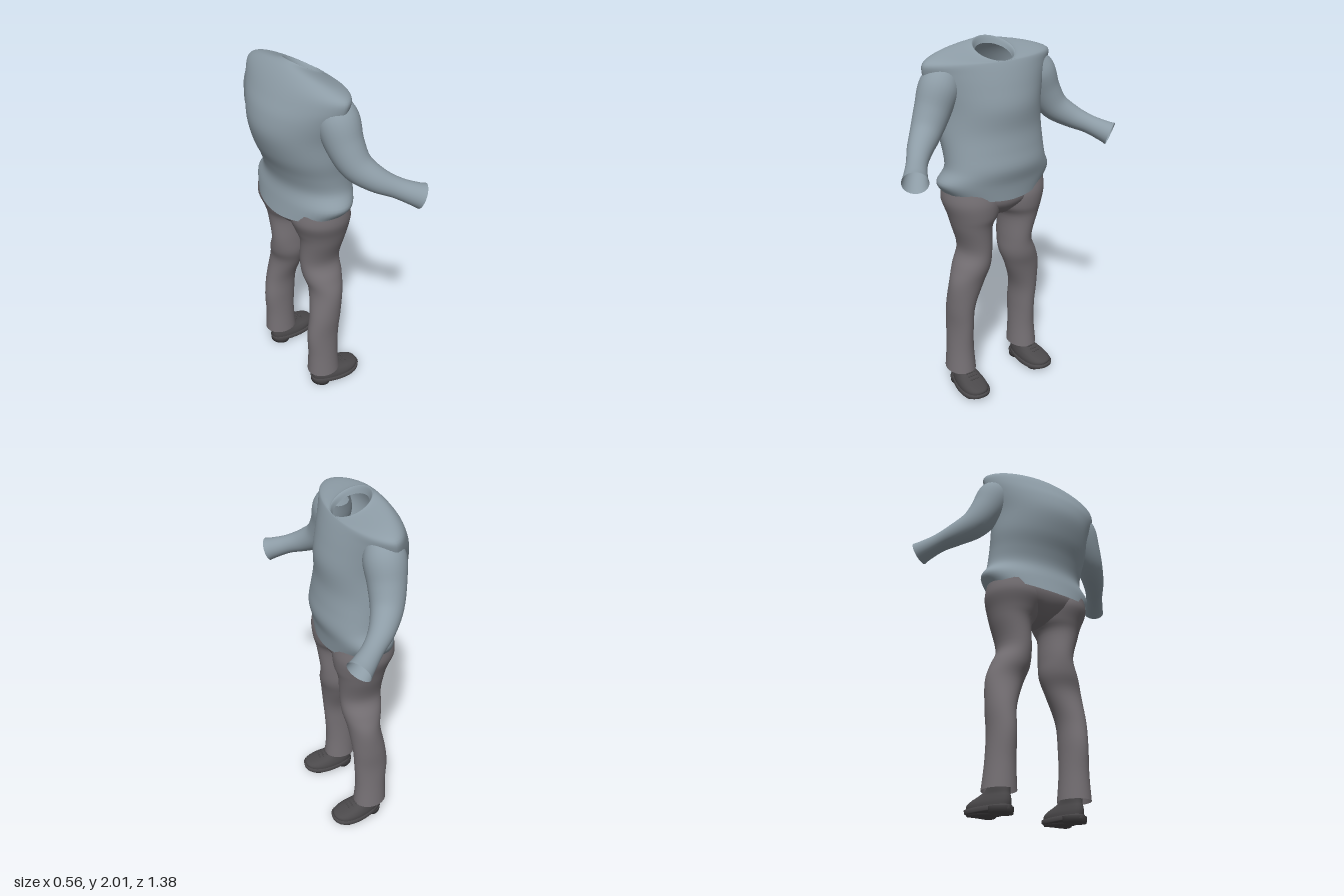
import * as THREE from 'three';

const mat = (name, color) => {
  const m = new THREE.MeshStandardMaterial({ color, side: THREE.DoubleSide });
  m.name = name;
  return m;
};

// Catmull-Rom resampling of a table of section rows
function smooth(rows, steps = 5) {
  const out = [];
  for (let i = 0; i < rows.length - 1; i++) {
    const p0 = rows[Math.max(i - 1, 0)], p1 = rows[i], p2 = rows[i + 1];
    const p3 = rows[Math.min(i + 2, rows.length - 1)];
    for (let k = 0; k < steps; k++) {
      const t = k / steps;
      out.push(p1.map((b, j) => {
        const a = p0[j], c = p2[j], d = p3[j];
        return b + 0.5 * t * (c - a + t * (2 * a - 5 * b + 4 * c - d + t * (3 * (b - c) + d - a)));
      }));
    }
  }
  out.push(rows[rows.length - 1]);
  return out;
}

// Skin a list of closed rings; pointAt(row, angle, index) gives [x, y, z]
function loft(rows, pointAt, sides = 40) {
  const pos = [], idx = [];
  rows.forEach((row, i) => {
    for (let j = 0; j < sides; j++) {
      pos.push(...pointAt(row, (j / sides) * Math.PI * 2, i));
      if (i === 0) continue;
      const k = (j + 1) % sides, a = (i - 1) * sides, b = i * sides;
      idx.push(a + j, b + j, a + k, a + k, b + j, b + k);
    }
  });
  const g = new THREE.BufferGeometry();
  g.setAttribute('position', new THREE.Float32BufferAttribute(pos, 3));
  g.setIndex(idx);
  g.computeVertexNormals();
  return g;
}

// Body ring: [y, back x, front x, half width, tilt, hem wave, pointedness]
function bodyPoint([y, xb, xf, w, tilt, wave, power], t) {
  const c = Math.cos(t);
  const dx = ((xf - xb) / 2) * Math.sign(c) * Math.abs(c) ** power;
  return [(xb + xf) / 2 + dx, y + tilt * dx - wave * Math.cos(2 * t), -w * Math.sin(t)];
}

// Leg ring: [y, back x, front x, inner z, outer z]
const legPoint = (s) => ([y, xb, xf, zi, zo], t) => [
  (xb + xf) / 2 + ((xf - xb) / 2) * Math.cos(t), y,
  s * ((zi + zo) / 2 + ((zo - zi) / 2) * Math.sin(t)),
];

// Shoe ring: [y, heel x, toe x, half width, toe lift]
function shoePoint([y, xb, xf, w, lift], t) {
  const c = Math.cos(t);
  return [(xb + xf) / 2 + ((xf - xb) / 2) * c,
    y + lift * Math.max(0, c) ** 3,
    -w * Math.sign(Math.sin(t)) * Math.abs(Math.sin(t)) ** 0.85 * (0.9 + 0.2 * c)];
}

// Sleeve: centre line with a radius at each point
function sleeve(rows, s) {
  const list = smooth(rows, 5);
  const centre = list.map(([x, y, z]) => new THREE.Vector3(x, y, z));
  return loft(list, (row, t, i) => {
    const dir = centre[Math.min(i + 1, list.length - 1)].clone()
      .sub(centre[Math.max(i - 1, 0)]).normalize();
    const u = new THREE.Vector3().crossVectors(dir, new THREE.Vector3(-0.7, 0, 0.7)).normalize();
    const v = new THREE.Vector3().crossVectors(dir, u);
    const p = centre[i].clone().addScaledVector(u, row[3] * Math.cos(t))
      .addScaledVector(v, row[3] * Math.sin(t));
    return [p.x, p.y, s * p.z];
  }, 28);
}

export function createModel() {
  const model = new THREE.Group();
  model.name = 'clothedBody';
  const shirt = mat('shirtBlueGrey', 0x8d9ca6);
  const cloth = mat('trouserGrey', 0x757074);
  const leather = mat('shoeDarkGrey', 0x4b494b);
  const add = (name, geo, material, parent = model) => {
    const m = new THREE.Mesh(geo, material);
    m.name = name;
    parent.add(m);
    return m;
  };

  // Sweater from hem to open collar, with a turned-in neck edge
  add('sweaterBody', loft(smooth([
    [1.218, -0.207, 0.175, 0.315, 0, 0.026, 1],
    [1.29, -0.19, 0.182, 0.35, 0, 0.01, 1],
    [1.37, -0.175, 0.202, 0.307, 0, 0, 1],
    [1.46, -0.20, 0.187, 0.302, 0, 0, 1],
    [1.56, -0.245, 0.172, 0.313, 0, 0, 1.1],
    [1.68, -0.278, 0.174, 0.325, 0, 0, 1.25],
    [1.78, -0.265, 0.148, 0.36, 0, 0, 1.3],
    [1.86, -0.228, 0.118, 0.39, 0, 0, 1.25],
    [1.915, -0.187, 0.098, 0.386, -0.1, 0, 1.1],
    [1.943, -0.145, 0.092, 0.30, -0.3, 0, 1],
    [1.953, -0.112, 0.094, 0.14, -0.46, 0, 1],
    [1.955, -0.102, 0.092, 0.112, -0.5, 0, 1],
    [1.925, -0.09, 0.08, 0.10, -0.5, 0, 1],
  ]), bodyPoint, 56), shirt);

  // Hips and crotch
  add('trouserHips', loft(smooth([
    [1.29, -0.16, 0.15, 0.285, 0, 0, 1],
    [1.22, -0.182, 0.155, 0.305, 0, 0, 1],
    [1.16, -0.168, 0.153, 0.25, 0, 0, 1],
    [1.11, -0.13, 0.12, 0.11, 0, 0, 1],
    [1.078, -0.075, 0.075, 0.05, 0, 0, 1],
    [1.065, -0.001, 0.001, 0.001, 0, 0, 1],
  ]), bodyPoint), cloth);

  for (const s of [1, -1]) {
    const side = s > 0 ? 'left' : 'right';

    // Sleeve bent forward, open at the cuff
    add(side + 'Sleeve', sleeve([
      [-0.035, 1.885, 0.25, 0.07],
      [-0.035, 1.80, 0.308, 0.104],
      [-0.027, 1.69, 0.36, 0.094],
      [0.0, 1.595, 0.42, 0.08],
      [0.06, 1.535, 0.495, 0.064],
      [0.135, 1.495, 0.56, 0.052],
      [0.205, 1.462, 0.612, 0.058],
      [0.238, 1.448, 0.634, 0.065],
    ], s), shirt);

    // Trouser leg, open at the bottom
    add(side + 'TrouserLeg', loft(smooth([
      [1.25, -0.165, 0.14, 0.02, 0.308],
      [1.18, -0.174, 0.158, -0.005, 0.312],
      [1.10, -0.145, 0.153, 0.012, 0.288],
      [1.03, -0.124, 0.135, 0.05, 0.268],
      [0.89, -0.118, 0.122, 0.052, 0.228],
      [0.79, -0.11, 0.118, 0.056, 0.268],
      [0.69, -0.088, 0.098, 0.092, 0.30],
      [0.54, -0.112, 0.08, 0.148, 0.304],
      [0.40, -0.13, 0.07, 0.157, 0.297],
      [0.25, -0.122, 0.064, 0.155, 0.304],
      [0.11, -0.125, 0.075, 0.146, 0.317],
    ]), legPoint(s), 36), cloth);

    // Shoe: upper, sole, heel and laces, toe turned slightly out
    const shoe = new THREE.Group();
    shoe.name = side + 'Shoe';
    shoe.position.z = s * 0.226;
    shoe.rotation.y = -s * 0.08;
    model.add(shoe);
    add('shoeUpper', loft(smooth([
      [0.03, -0.092, 0.21, 0.082, 0.01],
      [0.055, -0.096, 0.212, 0.082, 0.008],
      [0.078, -0.094, 0.18, 0.073, 0],
      [0.095, -0.09, 0.12, 0.062, 0],
      [0.115, -0.088, 0.065, 0.055, 0],
      [0.15, -0.085, 0.03, 0.05, 0],
    ], 4), shoePoint, 36), leather, shoe);
    add('shoeSole', loft([
      [0.012, 0.05, 0.05, 0, 0],
      [0.012, -0.092, 0.212, 0.085, 0.012],
      [0.016, -0.098, 0.221, 0.092, 0.012],
      [0.036, -0.098, 0.223, 0.092, 0.01],
      [0.038, -0.092, 0.21, 0.082, 0.01],
    ], shoePoint, 36), leather, shoe);
    add('shoeHeel', loft([
      [0.0, -0.045, -0.045, 0, 0],
      [0.0, -0.096, 0.005, 0.07, 0],
      [0.03, -0.098, 0.008, 0.074, 0],
    ], shoePoint, 28), leather, shoe);
    add('shoeBall', loft([
      [0.003, 0.11, 0.11, 0, 0],
      [0.003, 0.04, 0.19, 0.077, 0.008],
      [0.02, 0.03, 0.205, 0.084, 0.01],
    ], shoePoint, 28), leather, shoe);
    for (let i = 0; i < 3; i++) {
      const lace = add('shoeLace', new THREE.CapsuleGeometry(0.004, 0.05, 3, 8), leather, shoe);
      lace.rotation.x = Math.PI / 2;
      lace.position.set(0.076 + i * 0.023, 0.111 - i * 0.007, 0);
    }
  }
  return model;
}
